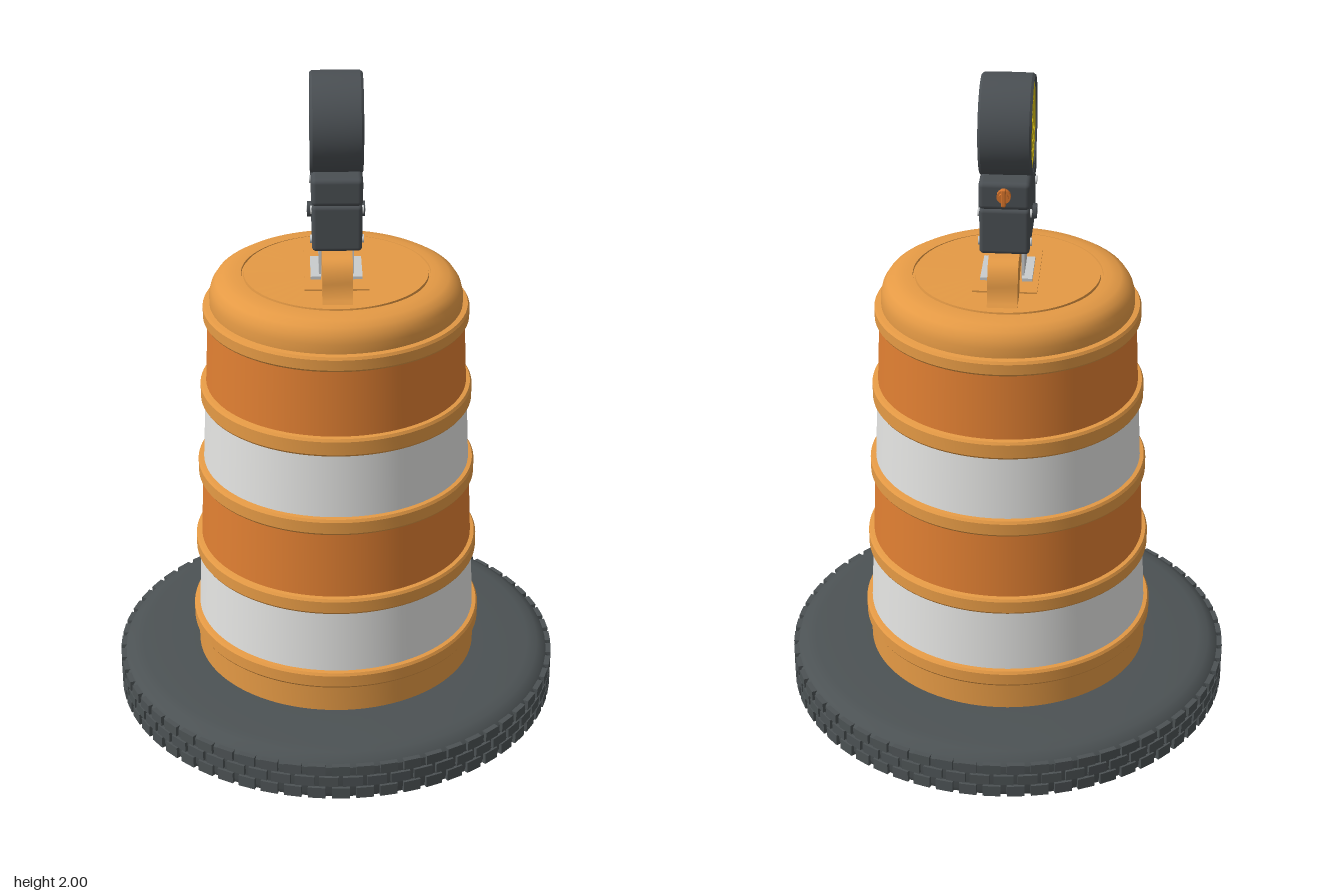
import * as THREE from 'three';
import { mergeGeometries, toCreasedNormals } from 'three/addons/utils/BufferGeometryUtils.js';
import { RoundedBoxGeometry } from 'three/addons/geometries/RoundedBoxGeometry.js';

const material = (name, color) => {
  const m = new THREE.MeshStandardMaterial({ color });
  m.name = name;
  return m;
};

// Revolved solid with sharp edges kept; profile is [radius, y] pairs
const lathe = (profile, segments = 72, crease = 0.5) => toCreasedNormals(
  new THREE.LatheGeometry(profile.map(([r, y]) => new THREE.Vector2(r, y)), segments), crease);

export function createModel() {
  const group = new THREE.Group();
  const drumOrange = material('drum orange', 0xe59a45);
  const sheetOrange = material('reflective orange', 0xe07f32);
  const sheetWhite = material('reflective white', 0xe4e4e2);
  const rubber = material('rubber', 0x4c5254);
  const housing = material('lamp housing grey', 0x4a4f53);
  const lensYellow = material('lens yellow', 0xdcc314);
  const metal = material('metal', 0xc9cccd);
  const knobOrange = material('knob orange', 0xd8752c);

  const add = (name, geometry, mat, x = 0, y = 0, z = 0, parent = group) => {
    const mesh = new THREE.Mesh(geometry, mat);
    mesh.name = name;
    mesh.position.set(x, y, z);
    parent.add(mesh);
    return mesh;
  };

  // Rubber tyre ring
  add('tyreBase', lathe([
    [0.51, 0.004], [0.51, 0], [0.645, 0], [0.663, 0.012], [0.67, 0.03], [0.67, 0.118],
    [0.658, 0.135], [0.635, 0.148], [0.605, 0.153], [0.42, 0.153],
  ], 96), rubber);

  // Three staggered rows of tread blocks
  const lugs = [];
  const count = 60;
  for (const [y, height, width, shift] of [[0.034, 0.036, 0.052, 0], [0.074, 0.032, 0.058, 0.5], [0.112, 0.032, 0.052, 0]]) {
    for (let i = 0; i < count; i++) {
      const lug = new THREE.BoxGeometry(width, height, 0.02);
      lug.translate(0, y, 0.669);
      lug.rotateY((i + shift) / count * Math.PI * 2);
      lugs.push(lug);
    }
  }
  add('tyreTread', mergeGeometries(lugs), rubber);

  // Drum: stepped, tapering body with raised ribs and a rounded shoulder
  const ribs = [[0.24, 0.29, 0.443], [0.49, 0.54, 0.43], [0.75, 0.80, 0.417], [1.0, 1.055, 0.404], [1.26, 1.305, 0.391]];
  const profile = [[0, 0.002], [0.51, 0.002], [0.51, 0.03], [0.43, 0.1], [0.43, 0.238]];
  ribs.forEach(([low, high, r], i) => {
    if (i) profile.push([r - 0.016, low - 0.002]);
    profile.push([r - 0.004, low], [r, low + 0.006], [r, high - 0.008], [r - 0.005, high], [r - 0.02, high + 0.002]);
  });
  profile.push([0.371, 1.335], [0.365, 1.358], [0.352, 1.378], [0.33, 1.391], [0.3, 1.396],
    [0.277, 1.397], [0.276, 1.391], [0.271, 1.391], [0.27, 1.399], [0, 1.399]);
  add('drumBody', lathe(profile, 96), drumOrange);

  // Reflective bands between the ribs
  for (let i = 0; i < 4; i++) {
    const low = ribs[i][1] + 0.002, high = ribs[i + 1][0] - 0.002;
    add(i % 2 ? 'orangeBand' : 'whiteBand',
      new THREE.CylinderGeometry(ribs[i + 1][2] - 0.013, ribs[i][2] - 0.017, high - low, 96, 1, true),
      i % 2 ? sheetOrange : sheetWhite, 0, (low + high) / 2);
  }

  // Arched carrying handle running front to back
  const arch = new THREE.Shape();
  arch.moveTo(0.245, 1.395);
  arch.quadraticCurveTo(0.222, 1.42, 0.22, 1.46);
  arch.quadraticCurveTo(0.21, 1.52, 0.16, 1.52);
  arch.lineTo(-0.16, 1.52);
  arch.quadraticCurveTo(-0.21, 1.52, -0.22, 1.46);
  arch.quadraticCurveTo(-0.222, 1.42, -0.245, 1.395);
  arch.lineTo(-0.16, 1.395);
  arch.quadraticCurveTo(-0.13, 1.46, -0.08, 1.462);
  arch.lineTo(0.08, 1.462);
  arch.quadraticCurveTo(0.13, 1.46, 0.16, 1.395);
  const handle = new THREE.ExtrudeGeometry(arch, { depth: 0.086, bevelEnabled: false, curveSegments: 8 });
  handle.translate(0, 0, -0.043).rotateY(-Math.PI / 2);
  add('handle', toCreasedNormals(handle, 0.6), drumOrange);
  add('handlePad', new THREE.BoxGeometry(0.186, 0.008, 0.29), drumOrange, 0, 1.4);

  // Metal lamp bracket straddling the handle
  for (const side of [-1, 1]) {
    add('bracketPlate', new THREE.BoxGeometry(0.008, 0.14, 0.11), metal, side * 0.047, 1.465);
    add('bracketFoot', new THREE.BoxGeometry(0.03, 0.012, 0.15), metal, side * 0.06, 1.407);
  }

  // Battery case in two parts
  const lamp = new THREE.Group();
  lamp.name = 'warningLamp';
  group.add(lamp);
  add('batteryCase', new RoundedBoxGeometry(0.142, 0.138, 0.3, 3, 0.012), housing, 0, 1.59, 0, lamp);
  add('batteryLid', new RoundedBoxGeometry(0.146, 0.082, 0.304, 3, 0.014), housing, 0, 1.698, 0, lamp);

  // Screws and hexagonal bolt on both faces of the case
  for (const side of [-1, 1]) {
    for (const z of [-0.12, 0.12]) {
      for (const y of [1.55, 1.638]) {
        const screw = new THREE.CylinderGeometry(0.012, 0.012, 0.008, 16).rotateZ(Math.PI / 2);
        add('caseScrew', screw, metal, side * 0.072, y, z, lamp);
      }
    }
    const bolt = new THREE.CylinderGeometry(0.022, 0.022, 0.016, 6).rotateZ(Math.PI / 2);
    add('hexBolt', bolt, housing, side * 0.075, 1.593, 0, lamp);
    const stud = new THREE.CylinderGeometry(0.009, 0.009, 0.008, 12).rotateZ(Math.PI / 2);
    add('boltStud', stud, metal, side * 0.081, 1.593, 0, lamp);
  }

  // Round lamp head
  const head = lathe([
    [0.13, -0.064], [0.132, -0.074], [0.14, -0.075], [0.145, -0.068], [0.146, -0.03],
    [0.146, 0.03], [0.145, 0.068], [0.14, 0.075], [0.132, 0.074], [0.13, 0.064],
  ], 64).rotateZ(-Math.PI / 2);
  add('lampHousing', head, housing, 0, 1.855, 0, lamp);

  // Lenses with concentric ridges on both sides
  const lensProfile = [[0.131, 0.064], [0.126, 0.07]];
  for (const r of [0.102, 0.073, 0.044, 0.02]) {
    lensProfile.push([r + 0.004, 0.07], [r + 0.002, 0.064], [r - 0.002, 0.064], [r - 0.004, 0.07]);
  }
  lensProfile.push([0, 0.071]);
  for (const side of [-1, 1]) {
    add('lens', lathe(lensProfile, 64).rotateZ(-side * Math.PI / 2), lensYellow, 0, 1.855, 0, lamp);
  }

  // Switch knob on the back of the lid
  add('knobStem', new THREE.CylinderGeometry(0.014, 0.014, 0.04, 16).rotateX(Math.PI / 2), knobOrange, 0, 1.708, -0.165, lamp);
  add('knobHead', new THREE.CylinderGeometry(0.02, 0.02, 0.014, 16).rotateX(Math.PI / 2), knobOrange, 0, 1.708, -0.168, lamp);
  add('knobGrip', new RoundedBoxGeometry(0.014, 0.052, 0.018, 2, 0.004), knobOrange, 0, 1.708, -0.178, lamp);

  return group;
}
